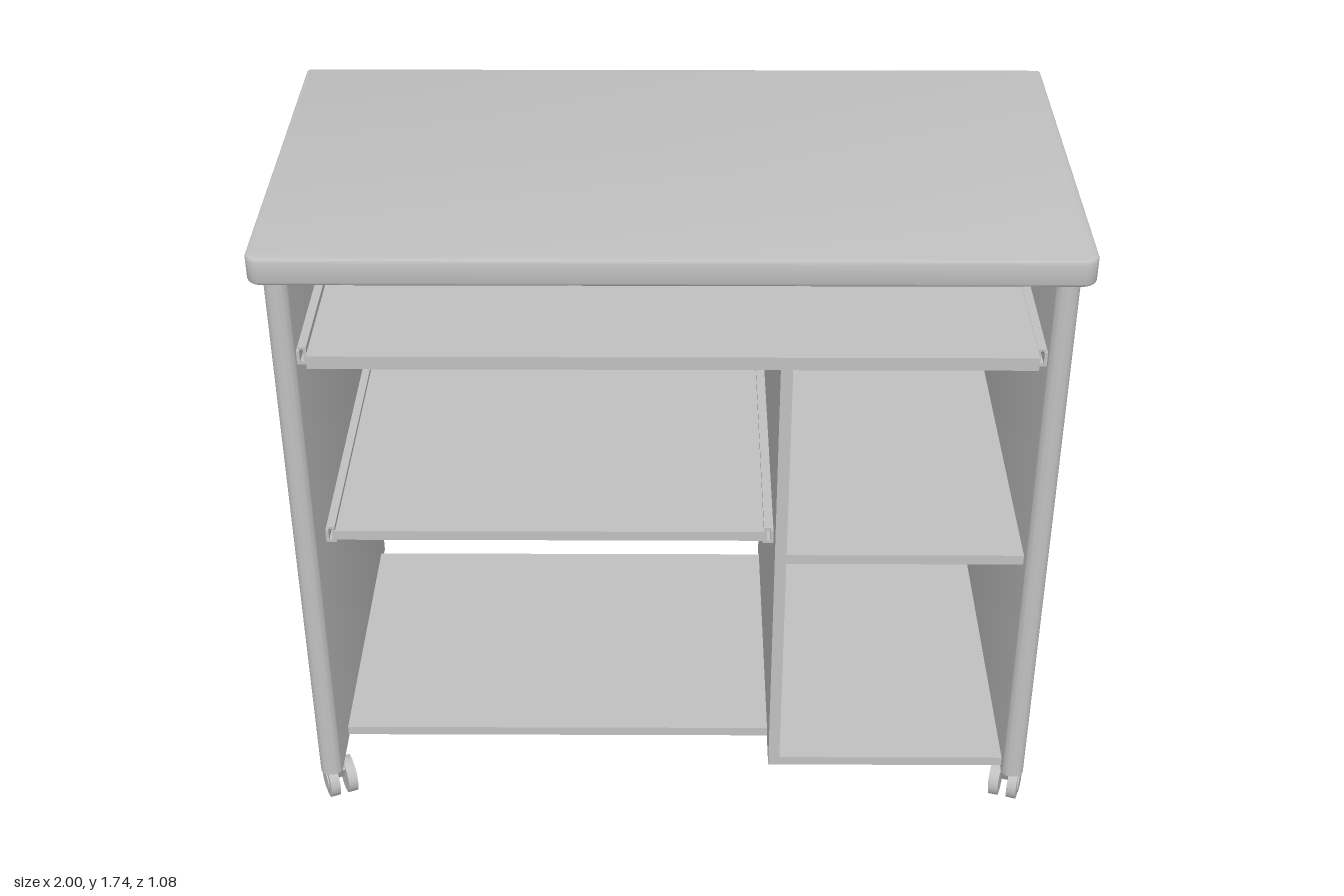
import * as THREE from 'three';
import { toCreasedNormals } from 'three/addons/utils/BufferGeometryUtils.js';

export function createModel() {
  const model = new THREE.Group();
  model.name = 'rollingDesk';
  const grey = new THREE.MeshStandardMaterial({ color: 0xc0c0c0 });
  grey.name = 'grey laminate';

  function add(parent, name, geometry, x = 0, y = 0, z = 0) {
    const mesh = new THREE.Mesh(geometry, grey);
    mesh.name = name;
    mesh.position.set(x, y, z);
    parent.add(mesh);
    return mesh;
  }

  // Box given by its limits on each axis
  function board(name, x0, x1, y0, y1, z0, z1, parent = model) {
    return add(parent, name, new THREE.BoxGeometry(x1 - x0, y1 - y0, z1 - z0),
      (x0 + x1) / 2, (y0 + y1) / 2, (z0 + z1) / 2);
  }

  // Upright slab whose plan has rounded front and back corners
  function slab(name, x0, x1, y0, y1, z0, z1, rFront, rBack, bevel = 0) {
    const a = x0 + bevel, b = x1 - bevel, back = -z0 - bevel, front = -z1 + bevel;
    const s = new THREE.Shape();
    s.moveTo(a + rFront, front);
    s.lineTo(b - rFront, front);
    s.absarc(b - rFront, front + rFront, rFront, -Math.PI / 2, 0, false);
    s.lineTo(b, back - rBack);
    s.absarc(b - rBack, back - rBack, rBack, 0, Math.PI / 2, false);
    s.lineTo(a + rBack, back);
    s.absarc(a + rBack, back - rBack, rBack, Math.PI / 2, Math.PI, false);
    s.lineTo(a, front + rFront);
    s.absarc(a + rFront, front + rFront, rFront, Math.PI, Math.PI * 1.5, false);
    const geo = new THREE.ExtrudeGeometry(s, {
      depth: y1 - y0 - 2 * bevel, curveSegments: 8,
      bevelEnabled: bevel > 0, bevelSize: bevel, bevelThickness: bevel, bevelSegments: 3,
    });
    geo.rotateX(-Math.PI / 2);
    return add(model, name, toCreasedNormals(geo, 0.7), 0, y0 + bevel, 0);
  }

  // Desk top and the two side panels
  slab('deskTop', -1, 1, 1.67, 1.74, -0.54, 0.535, 0.03, 0.004, 0.008);
  slab('rightSidePanel', -0.965, -0.905, 0.12, 1.67, -0.54, 0.515, 0.025, 0.02);
  slab('leftSidePanel', 0.905, 0.965, 0.12, 1.67, -0.54, 0.515, 0.025, 0.02);

  // Divider and fixed shelves
  board('divider', 0.265, 0.295, 0.13, 1.445, -0.51, 0.48);
  board('narrowBottomShelf', 0.295, 0.905, 0.13, 0.157, -0.51, 0.48);
  board('narrowMiddleShelf', 0.295, 0.905, 0.82, 0.848, -0.51, 0.48);
  board('wideBottomShelf', -0.905, 0.265, 0.13, 0.157, -0.45, 0.36);

  // Sliding shelf and keyboard tray
  board('slidingShelf', -0.88, 0.245, 0.82, 0.848, -0.45, 0.38);
  board('keyboardTray', -0.875, 0.88, 1.445, 1.48, -0.51, 0.54);

  // Runner: an upright web on the wall with a flange and a lip on the board
  function runner(name, wallX, dir, y, z0, z1) {
    const g = new THREE.Group();
    g.name = name;
    const part = (label, a, b, y0, y1) => {
      const p = wallX + dir * a, q = wallX + dir * b;
      board(label, Math.min(p, q), Math.max(p, q), y + y0, y + y1, z0, z1, g);
    };
    part('wallRail', 0, 0.008, -0.012, 0.025);
    part('railFlange', 0, 0.028, -0.012, -0.004);
    part('slideWeb', 0.017, 0.025, -0.004, 0.035);
    part('slideLip', 0.006, 0.025, 0.03, 0.036);
    model.add(g);
  }
  runner('trayRunnerRight', -0.905, 1, 1.445, -0.5, 0.5);
  runner('trayRunnerLeft', 0.905, -1, 1.445, -0.5, 0.5);
  runner('shelfRunnerRight', -0.905, 1, 0.825, -0.45, 0.38);
  runner('shelfRunnerLeft', 0.265, -1, 0.825, -0.45, 0.38);

  // Twin-wheel castor: stem at the origin, wheels trailing behind it
  const wheelGeo = new THREE.CylinderGeometry(0.051, 0.051, 0.026, 24).rotateZ(Math.PI / 2);
  const capGeo = new THREE.CylinderGeometry(0.032, 0.032, 0.005, 20).rotateZ(Math.PI / 2);
  const hoodShape = new THREE.Shape();
  hoodShape.moveTo(-0.045, 0.085);
  hoodShape.quadraticCurveTo(-0.03, 0.107, 0, 0.105);
  hoodShape.lineTo(0.042, 0.1);
  hoodShape.lineTo(0.042, 0.06);
  hoodShape.lineTo(-0.02, 0.04);
  const hoodGeo = new THREE.ExtrudeGeometry(hoodShape, { depth: 0.048, bevelEnabled: false });
  hoodGeo.translate(0, 0, -0.024).rotateY(-Math.PI / 2);

  function castor(name, x, z, turn, top) {
    const g = new THREE.Group();
    g.name = name;
    g.position.set(x, 0, z);
    g.rotation.y = turn;
    for (const side of [-1, 1]) {
      add(g, 'wheel', wheelGeo, side * 0.025, 0.051, -0.025);
      add(g, 'hubCap', capGeo, side * 0.039, 0.051, -0.025);
    }
    add(g, 'hood', hoodGeo);
    add(g, 'stem', new THREE.CylinderGeometry(0.01, 0.01, top - 0.09, 12), 0, (top + 0.09) / 2, 0);
    model.add(g);
  }
  castor('frontRightCastor', -0.935, 0.42, Math.PI + 0.4, 0.125);
  castor('frontLeftCastor', 0.935, 0.42, Math.PI - 0.3, 0.125);
  castor('backRightCastor', -0.935, -0.495, Math.PI + 0.3, 0.125);
  castor('backLeftCastor', 0.935, -0.495, Math.PI - 0.3, 0.125);
  castor('middleCastor', 0.28, -0.06, 0.1, 0.135);

  return model;
}
